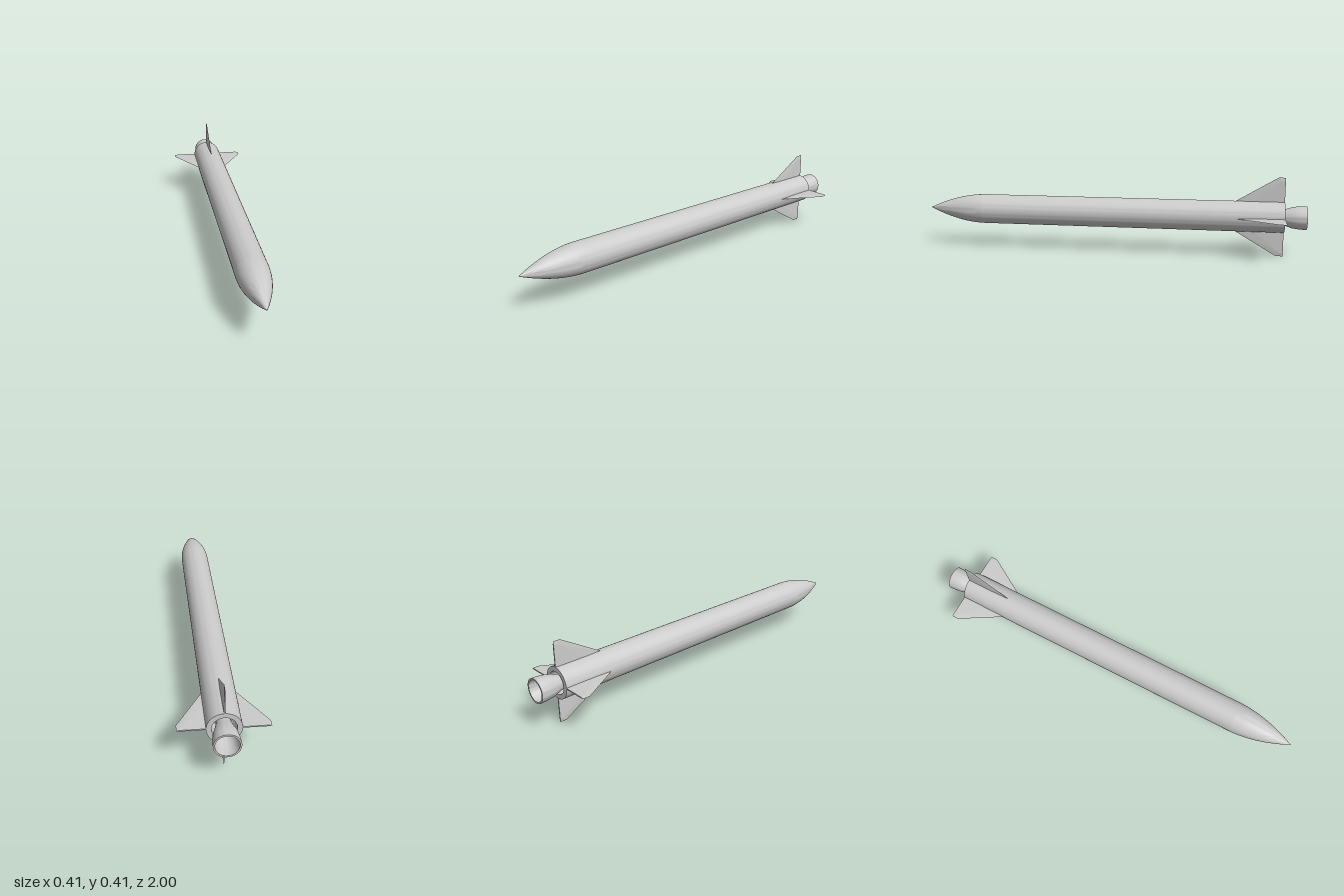
import * as THREE from 'three';
import { toCreasedNormals } from 'three/addons/utils/BufferGeometryUtils.js';
import { ConvexGeometry } from 'three/addons/geometries/ConvexGeometry.js';

const AXIS_Y = 0.2025;
const R = 0.078;

export function createModel() {
  const material = new THREE.MeshStandardMaterial({ color: 0xcccccc });
  const rocket = new THREE.Group();
  rocket.name = 'rocket';
  rocket.position.y = AXIS_Y;

  // Round part from [radius, z] pairs, turned about the z axis
  function turned(name, profile) {
    const points = profile.map(([r, z]) => new THREE.Vector2(r, z));
    const geometry = new THREE.LatheGeometry(points, 48).rotateX(Math.PI / 2);
    const mesh = new THREE.Mesh(toCreasedNormals(geometry, 0.5), material);
    mesh.name = name;
    rocket.add(mesh);
  }

  // Tube with a recess in its rear end
  turned('body', [[0, -0.8], [0.055, -0.8], [0.055, -0.89], [R, -0.89], [R, 0.69]]);

  // Pointed, gently curved nose
  const nose = [];
  for (let i = 0; i <= 14; i++) {
    const t = i / 14;
    nose.push([R * (1 - t ** 1.85), 0.69 + 0.31 * t]);
  }
  turned('noseCone', nose);

  // Hollow engine bell, with its neck inside the recess
  turned('nozzle', [
    [0, -0.86], [0.028, -0.86], [0.036, -0.89], [0.046, -0.93], [0.051, -0.97], [0.052, -1],
    [0.06, -1], [0.059, -0.97], [0.054, -0.93], [0.041, -0.89], [0.033, -0.86], [0.033, -0.79],
  ]);

  // Fin with a sharp leading edge and a tip tapering to an edge
  const h = 0.003;
  const p = (r, y, z) => new THREE.Vector3(r, y, z);
  const corners = [p(0.07, 0, -0.631), p(0.2025, 0, -0.855), p(0.2025, 0, -0.89)];
  for (const y of [-h, h]) {
    corners.push(p(0.07, y, -0.73), p(0.07, y, -0.89), p(0.185, y, -0.875), p(0.185, y, -0.89));
  }
  const finGeometry = new ConvexGeometry(corners);
  ['leftFin', 'topFin', 'rightFin', 'bottomFin'].forEach((name, i) => {
    const fin = new THREE.Mesh(finGeometry, material);
    fin.name = name;
    fin.rotation.z = i * Math.PI / 2;
    rocket.add(fin);
  });

  const model = new THREE.Group();
  model.add(rocket);
  return model;
}
